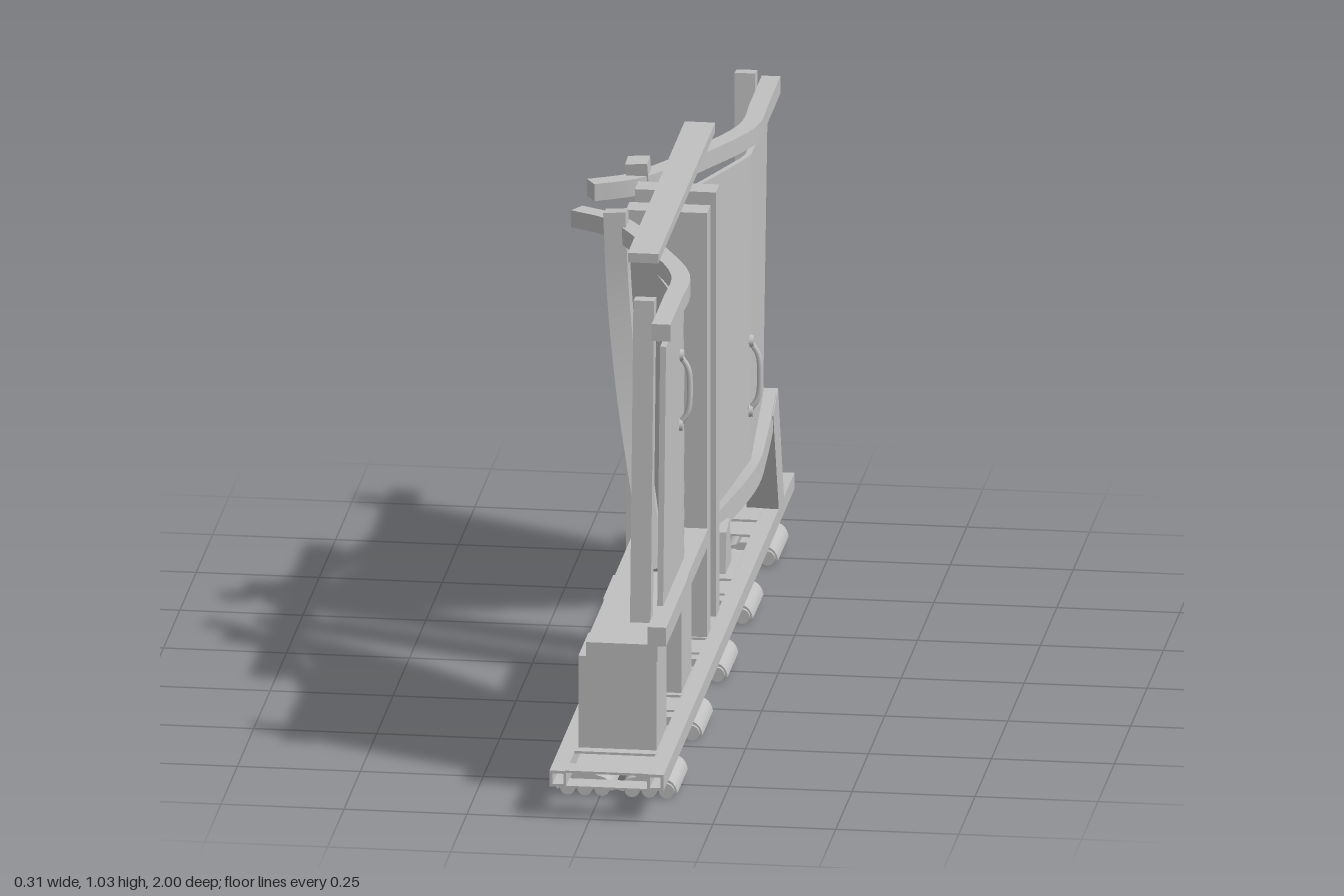
import * as THREE from 'three';
import { toCreasedNormals } from 'three/addons/utils/BufferGeometryUtils.js';

const grey = new THREE.MeshStandardMaterial({ color: 0xc0c0c0 });
grey.name = 'plainGrey';
const V = (x, y, z) => new THREE.Vector3(x, y, z);

// Solid lofted through closed rings of points, capped at both ends
function loft(rings) {
  const pos = [], n = rings[0].length;
  const quad = (a, b, c, d) => [a, b, c, a, c, d].forEach(p => pos.push(p.x, p.y, p.z));
  for (let i = 0; i < rings.length - 1; i++)
    for (let k = 0; k < n; k++) {
      const m = (k + 1) % n;
      quad(rings[i][k], rings[i][m], rings[i + 1][m], rings[i + 1][k]);
    }
  const first = rings[0], last = rings[rings.length - 1];
  for (let k = 0; k < n / 2 - 1; k++) {
    const a = k, b = k + 1, c = n - 2 - k, d = n - 1 - k;
    quad(last[a], last[b], last[c], last[d]);
    quad(first[d], first[c], first[b], first[a]);
  }
  const g = new THREE.BufferGeometry();
  g.setAttribute('position', new THREE.Float32BufferAttribute(pos, 3));
  return toCreasedNormals(g, 0.4);
}

// Rectangular bar swept along points; w runs across, h runs along ref
function bar(points, w, h, ref, steps = 16) {
  const curve = new THREE.CatmullRomCurve3(points.map(p => V(...p)), false, 'centripetal');
  const rings = [];
  for (let i = 0; i <= steps; i++) {
    const p = curve.getPoint(i / steps), t = curve.getTangent(i / steps);
    const a = ref.clone().cross(t).normalize(), b = t.clone().cross(a);
    rings.push([[1, 1], [-1, 1], [-1, -1], [1, -1]].map(([s, u]) =>
      p.clone().addScaledVector(a, s * w / 2).addScaledVector(b, u * h / 2)));
  }
  return loft(rings);
}

// Door skin bends inward near the middle of the model
function skinX(d) {
  const t = Math.max(0, 0.49 - d);
  return 0.125 - 0.37 * t - 0.7 * t ** 4;
}

// Door skin between an outer edge and a curved inner edge, as [z, y] points
function doorPanel(outer, inner, side, shift) {
  const edge = pts => new THREE.CatmullRomCurve3(pts.map(([z, y]) => V(0, y, z)));
  const eo = edge(outer), ei = edge(inner), rings = [], nu = 24, nv = 20;
  for (let j = 0; j <= nv; j++) {
    const o = eo.getPoint(j / nv), n = ei.getPoint(j / nv), front = [], back = [];
    for (let i = 0; i <= nu; i++) {
      const p = o.clone().lerp(n, i / nu);
      p.x = skinX(Math.abs(p.z)) + shift;
      front.push(p);
      back.unshift(p.clone().add(V(-0.012, 0, 0)));
    }
    const ring = front.concat(back);
    rings.push(side > 0 ? ring : ring.reverse());
  }
  return loft(rings);
}

export function createModel() {
  const root = new THREE.Group();
  root.name = 'doorRack';
  const add = (name, geo, parent = root) => {
    const m = new THREE.Mesh(geo, grey);
    m.name = name;
    parent.add(m);
    return m;
  };
  const box = (name, x0, x1, y0, y1, z0, z1, parent) => {
    const m = add(name, new THREE.BoxGeometry(x1 - x0, y1 - y0, z1 - z0), parent);
    m.position.set((x0 + x1) / 2, (y0 + y1) / 2, (z0 + z1) / 2);
    return m;
  };
  // Block with a four-sided outline in z and y, extruded across x
  const slab = (name, x0, x1, pts) => {
    const shape = new THREE.Shape(pts.map(([z, y]) => new THREE.Vector2(-z, y)));
    const g = new THREE.ExtrudeGeometry(shape, { depth: x1 - x0, bevelEnabled: false });
    g.rotateY(Math.PI / 2).translate(x0, 0, 0);
    return add(name, g);
  };

  // Base: two hollow square rails joined by thin plates
  for (const x of [-0.065, 0.133]) {
    const s = new THREE.Shape([[-1, -1], [1, -1], [1, 1], [-1, 1]].map(([a, b]) => new THREE.Vector2(a * 0.017, b * 0.017)));
    s.holes.push(new THREE.Path([[-1, -1], [-1, 1], [1, 1], [1, -1]].map(([a, b]) => new THREE.Vector2(a * 0.011, b * 0.011))));
    const g = new THREE.ExtrudeGeometry(s, { depth: 2, bevelEnabled: false });
    add('baseRail', g.translate(x, 0.084, -1));
  }
  const plates = [[-1, -0.95], [-0.87, -0.68], [-0.48, -0.29], [-0.1, 0.1], [0.29, 0.48], [0.68, 0.87], [0.95, 1]];
  for (const [a, b] of plates) {
    box('basePlate', -0.05, 0.118, 0.097, 0.102, a, b);
    box('basePlate', -0.05, 0.118, 0.066, 0.07, a, b);
  }

  // Roller bogies: scalloped cover, neck and three rollers, in pairs
  const cover = new THREE.Shape();
  cover.moveTo(0.058, 0.015);
  cover.quadraticCurveTo(0.054, 0.042, 0.028, 0.045);
  cover.lineTo(0.02, 0.05);
  cover.lineTo(-0.02, 0.05);
  cover.lineTo(-0.028, 0.045);
  cover.quadraticCurveTo(-0.054, 0.042, -0.058, 0.015);
  cover.lineTo(-0.052, 0.015);
  for (const x of [-0.035, 0, 0.035]) cover.absarc(x, 0.019, 0.0175, Math.PI, 0, true);
  cover.lineTo(0.052, 0.015);
  const coverGeo = new THREE.ExtrudeGeometry(cover, { depth: 0.16, bevelEnabled: false, curveSegments: 8 });
  coverGeo.translate(0, 0, -0.08);
  const rollerGeo = new THREE.CylinderGeometry(0.0155, 0.0155, 0.15, 16).rotateX(Math.PI / 2);
  for (let i = -2; i <= 2; i++)
    for (const x of [-0.031, 0.1]) {
      const bogie = new THREE.Group();
      bogie.name = 'rollerBogie';
      bogie.position.set(x, 0, i * 0.385);
      add('rollerCover', coverGeo, bogie);
      box('bogieNeck', -0.02, 0.02, 0.048, 0.07, -0.045, 0.045, bogie);
      for (const dx of [-0.035, 0, 0.035]) add('roller', rollerGeo, bogie).position.set(dx, 0.0165, 0);
      root.add(bogie);
    }

  // Centre posts and top tie board
  box('centrePost', -0.047, 0.118, 0.1, 1, 0.042, 0.095);
  box('centrePost', -0.047, 0.118, 0.1, 1, -0.095, -0.042);
  box('topBoard', 0.002, 0.064, 1, 1.02, -0.435, 0.435);

  // Front support blocks and shelf
  box('supportBlock', -0.044, 0.115, 0.1, 0.296, 0.69, 0.845);
  box('supportBlock', -0.044, 0.115, 0.1, 0.296, 0.31, 0.465);
  box('shelf', -0.026, 0.12, 0.296, 0.332, 0.095, 0.865);

  // Rear leaning supports
  slab('leaningSupport', 0.085, 0.15, [[-0.675, 0.325], [-0.76, 0.1], [-0.84, 0.1], [-0.75, 0.36]]);
  slab('shortSupport', 0.01, 0.1, [[-0.32, 0.1], [-0.335, 0.185], [-0.385, 0.2], [-0.415, 0.1]]);

  // Horizontal rails that follow the door skins
  const up = V(0, 1, 0);
  const topRail = [[0.122, 0.83], [0.122, 0.66], [0.118, 0.5], [0.04, 0.32], [-0.012, 0.22], [-0.07, 0.14], [-0.147, 0.095]];
  add('frontTopRail', bar(topRail.map(([x, z]) => [x, 0.982, z]), 0.038, 0.036, up, 30));
  add('rearTopRail', bar(topRail.map(([x, z]) => [x + 0.005, 0.982, -z + 0.015]), 0.038, 0.036, up, 30));
  add('frontBottomRail', bar([[0.12, 0.354, 0.88], [0.12, 0.354, 0.68], [0.115, 0.354, 0.5], [0.05, 0.354, 0.27]], 0.038, 0.04, up, 20));
  add('rearBottomRail', bar([[0.128, 0.337, -0.742], [0.128, 0.285, -0.6], [0.12, 0.25, -0.5], [0.045, 0.18, -0.33]], 0.04, 0.045, up, 20));

  // Straight outer posts and curved inner posts
  const ref = V(1, 0, 0);
  add('frontOuterPost', bar([[0.08, 1.03, 0.76], [0.08, 0.365, 0.812]], 0.036, 0.042, ref, 1));
  add('rearOuterPost', bar([[0.085, 1.03, -0.745], [0.1, 0.265, -0.66]], 0.036, 0.042, ref, 1));
  add('frontInnerPost', bar([[-0.056, 1.027, 0.185], [-0.045, 0.85, 0.205], [-0.018, 0.65, 0.255],
    [0.02, 0.47, 0.325], [0.05, 0.335, 0.395]], 0.045, 0.045, ref, 20));
  add('rearInnerPost', bar([[-0.056, 1.027, -0.15], [-0.045, 0.85, -0.165], [-0.018, 0.62, -0.21],
    [0.02, 0.4, -0.3], [0.06, 0.15, -0.435]], 0.045, 0.045, ref, 20));

  // Door skins
  add('frontDoor', doorPanel([[0.82, 0.4], [0.775, 0.935]],
    [[0.34, 0.4], [0.255, 0.52], [0.185, 0.66], [0.14, 0.8], [0.115, 0.935]], 1, 0));
  add('rearDoor', doorPanel([[-0.68, 0.37], [-0.745, 0.935]],
    [[-0.355, 0.235], [-0.245, 0.42], [-0.155, 0.6], [-0.11, 0.77], [-0.095, 0.935]], -1, 0.004));

  // Door handles: bowed grip with a round pad at each end
  for (const [name, x, y, z, lean] of [['frontHandle', 0.125, 0.775, 0.56, -0.006], ['rearHandle', 0.129, 0.472, -0.48, -0.006]]) {
    const handle = new THREE.Group();
    handle.name = name;
    handle.position.set(x, y, z);
    const path = new THREE.CatmullRomCurve3([V(0, 0.07, lean), V(0.016, 0.045, lean / 2), V(0.02, 0, 0), V(0.016, -0.045, -lean / 2), V(0, -0.07, -lean)]);
    add('grip', new THREE.TubeGeometry(path, 16, 0.006, 8), handle);
    for (const s of [-1, 1]) {
      const pad = add('handlePad', new THREE.CylinderGeometry(0.011, 0.013, 0.008, 16).rotateZ(-Math.PI / 2), handle);
      pad.position.set(0.003, s * 0.072, s * lean);
    }
    root.add(handle);
  }
  return root;
}
